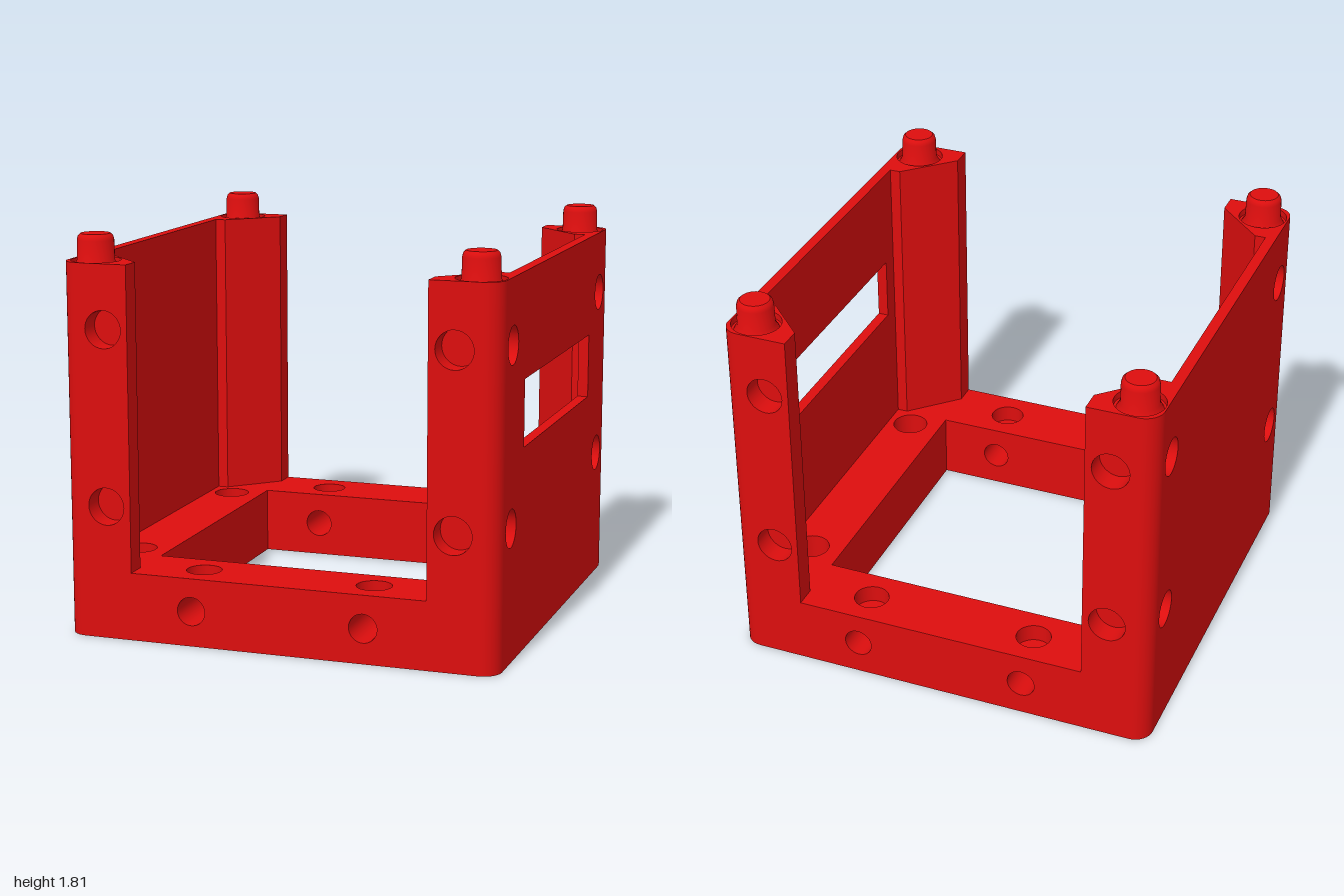
import * as THREE from 'three';
import { toCreasedNormals } from 'three/addons/utils/BufferGeometryUtils.js';

const RED = new THREE.MeshStandardMaterial({ color: 0xdd0e0e, side: THREE.DoubleSide });
const H = 1.69;      // height of the walls and posts
const BASE = 0.31;   // height of the base frame
const IN = 0.68;     // half width of the base opening
const POST = 0.685;  // inner edge of the corner posts
const CUT = 0.9;     // start of the post chamfer
const WALL = 0.95;   // inner face of the side walls
const R = 0.085;     // outer corner radius
const FLAT = 1 - R;

const mesh = (name, geometry) => {
  const m = new THREE.Mesh(geometry, RED);
  m.name = name;
  return m;
};

const rect = (x0, y0, x1, y1) => [[x0, y0], [x1, y0], [x1, y1], [x0, y1]];

// Points of a rounded outer corner, centred at (cx, cy), from angle a
const corner = (cx, cy, a) => Array.from({ length: 9 }, (_, i) => {
  const t = a + (i / 8) * Math.PI / 2;
  return [cx + R * Math.cos(t), cy + R * Math.sin(t)];
});

// The same holes mirrored to all four (or two) sign combinations
const four = (x, y, r, depth, blind) =>
  [[1, 1], [-1, 1], [-1, -1], [1, -1]].map(([a, b]) => ({ x: a * x, y: b * y, r, depth, blind }));
const pair = (y, x, r, depth, blind) => [1, -1].map((a) => ({ x: a * x, y, r, depth, blind }));

// Flat-shaded strip that runs along a path in XY and goes back along -z
function ribbon(points, depth) {
  const pos = [];
  for (let i = 0; i < points.length - 1; i++) {
    const [ax, ay] = points[i], [bx, by] = points[i + 1];
    pos.push(ax, ay, 0, ax, ay, -depth, bx, by, -depth, ax, ay, 0, bx, by, -depth, bx, by, 0);
  }
  const g = new THREE.BufferGeometry();
  g.setAttribute('position', new THREE.Float32BufferAttribute(pos, 3));
  g.computeVertexNormals();
  return g;
}

// Face of the body with its holes: bores get walls, blind ones get a floor
function panel(name, outline, holes = [], cutout = null) {
  const group = new THREE.Group();
  group.name = name;
  const shape = new THREE.Shape(outline.map(([x, y]) => new THREE.Vector2(x, y)));
  if (cutout) shape.holes.push(new THREE.Path(cutout.map(([x, y]) => new THREE.Vector2(x, y))));
  for (const { x, y, r, depth, blind } of holes) {
    shape.holes.push(new THREE.Path().absarc(x, y, r, 0, Math.PI * 2, true));
    if (depth) {
      const bore = new THREE.CylinderGeometry(r, r, depth, 32, 1, true);
      bore.rotateX(Math.PI / 2).translate(x, y, -depth / 2);
      group.add(mesh('bore', bore));
    }
    if (blind) group.add(mesh('boreFloor', new THREE.CircleGeometry(r, 32).translate(x, y, -depth)));
  }
  group.add(mesh(name + 'Face', new THREE.ShapeGeometry(shape, 16)));
  return group;
}

export function createModel() {
  const model = new THREE.Group();
  model.name = 'openFrame';
  const place = (part, x, y, z, rx, ry) => {
    part.position.set(x, y, z);
    part.rotation.set(rx, ry, 0);
    model.add(part);
    return part;
  };
  const magnets = [...pair(0.605, 0.8, 0.085, 0.1, true), ...pair(1.4, 0.8, 0.085, 0.1, true)];
  const screwHoles = (depth) => pair(0.16, 0.4, 0.065, depth);
  const opening = rect(-IN, -IN, IN, IN);

  // Underside and upper side of the base frame
  const square = [...corner(FLAT, FLAT, 0), ...corner(-FLAT, FLAT, Math.PI / 2),
    ...corner(-FLAT, -FLAT, Math.PI), ...corner(FLAT, -FLAT, Math.PI * 1.5)];
  place(panel('baseUnderside', square, four(0.835, 0.58, 0.085, BASE), opening), 0, 0, 0, Math.PI / 2, 0);
  const quarter = [[WALL, POST], [CUT, POST], [POST, CUT], [POST, 1]];
  const half = [...quarter, ...quarter.map(([x, y]) => [-x, y]).reverse()];
  const inside = [...half, ...half.map(([x, y]) => [-x, -y])];
  place(panel('baseTop', inside,
    [...four(0.835, 0.58, 0.085, 0), ...four(0.4, 0.84, 0.08, 0.08, true)], opening), 0, BASE, 0, -Math.PI / 2, 0);

  // U-shaped front and back
  const uShape = [[-FLAT, 0], [FLAT, 0], [FLAT, H], [POST, H], [POST, BASE], [-POST, BASE], [-POST, H], [-FLAT, H]];
  for (const s of [1, -1]) {
    const turn = s > 0 ? 0 : Math.PI;
    place(panel(s > 0 ? 'front' : 'back', uShape, [...magnets, ...screwHoles(1 - IN)]), 0, 0, s, 0, turn);
    place(panel('baseInnerEnd', rect(-IN, 0, IN, BASE), screwHoles(0)), 0, 0, s * IN, 0, turn + Math.PI);
  }

  // Side walls; only the left one has a window
  const windowRect = rect(-0.6, 0.92, 0.6, 1.22);
  for (const s of [1, -1]) {
    const turn = s * Math.PI / 2;
    const cutout = s > 0 ? windowRect : null;
    const wall = place(panel(s > 0 ? 'leftWall' : 'rightWall', rect(-FLAT, 0, FLAT, H), magnets, cutout), s, 0, 0, 0, turn);
    if (cutout) wall.add(mesh('windowReveal', ribbon([...cutout, cutout[0]].reverse(), 1 - WALL)));
    place(panel('wallInner', rect(-POST, BASE, POST, H), [], cutout), s * WALL, 0, 0, 0, -turn);
    place(panel('baseInnerSide', rect(-IN, 0, IN, BASE)), s * IN, 0, 0, 0, -turn);

    // Top rim of the wall with its two posts, and the posts' inner faces
    const rim = [[POST, -1], ...corner(FLAT, -FLAT, -Math.PI / 2), ...corner(FLAT, FLAT, 0),
      [POST, 1], [POST, CUT], [CUT, POST], [WALL, POST], [WALL, -POST], [CUT, -POST], [POST, -CUT]];
    const top = panel('wallRim', rim.map(([x, y]) => [s * x, s * y]),
      [1, -1].map((e) => ({ x: s * 0.88, y: e * 0.88, r: 0.112 })));
    for (const e of [1, -1]) {
      const path = quarter.map(([x, y]) => [s * x, e * y]);
      top.add(mesh('postInner', ribbon(s * e > 0 ? path.reverse() : path, H - BASE)));
    }
    place(top, 0, H, 0, -Math.PI / 2, 0);
  }

  // Rounded vertical corners, and pins in shallow ring recesses
  const profile = [[0.112, 0], [0.112, -0.03], [0.1, -0.03], [0.084, 0], [0.082, 0.09],
    [0.077, 0.108], [0.066, 0.118], [0, 0.118]].map(([r, y]) => new THREE.Vector2(r, y));
  const pin = toCreasedNormals(new THREE.LatheGeometry(profile, 32), 0.7);
  for (let i = 0; i < 4; i++) {
    const sx = i < 2 ? 1 : -1, sz = i === 0 || i === 3 ? 1 : -1;
    const start = Math.atan2(sx, sz) - Math.PI / 4;
    const edge = new THREE.CylinderGeometry(R, R, H, 8, 1, true, start, Math.PI / 2);
    place(mesh('roundedEdge', edge), sx * FLAT, H / 2, sz * FLAT, 0, 0);
    place(mesh('pin', pin), sx * 0.88, H, sz * 0.88, 0, 0);
  }
  return model;
}
